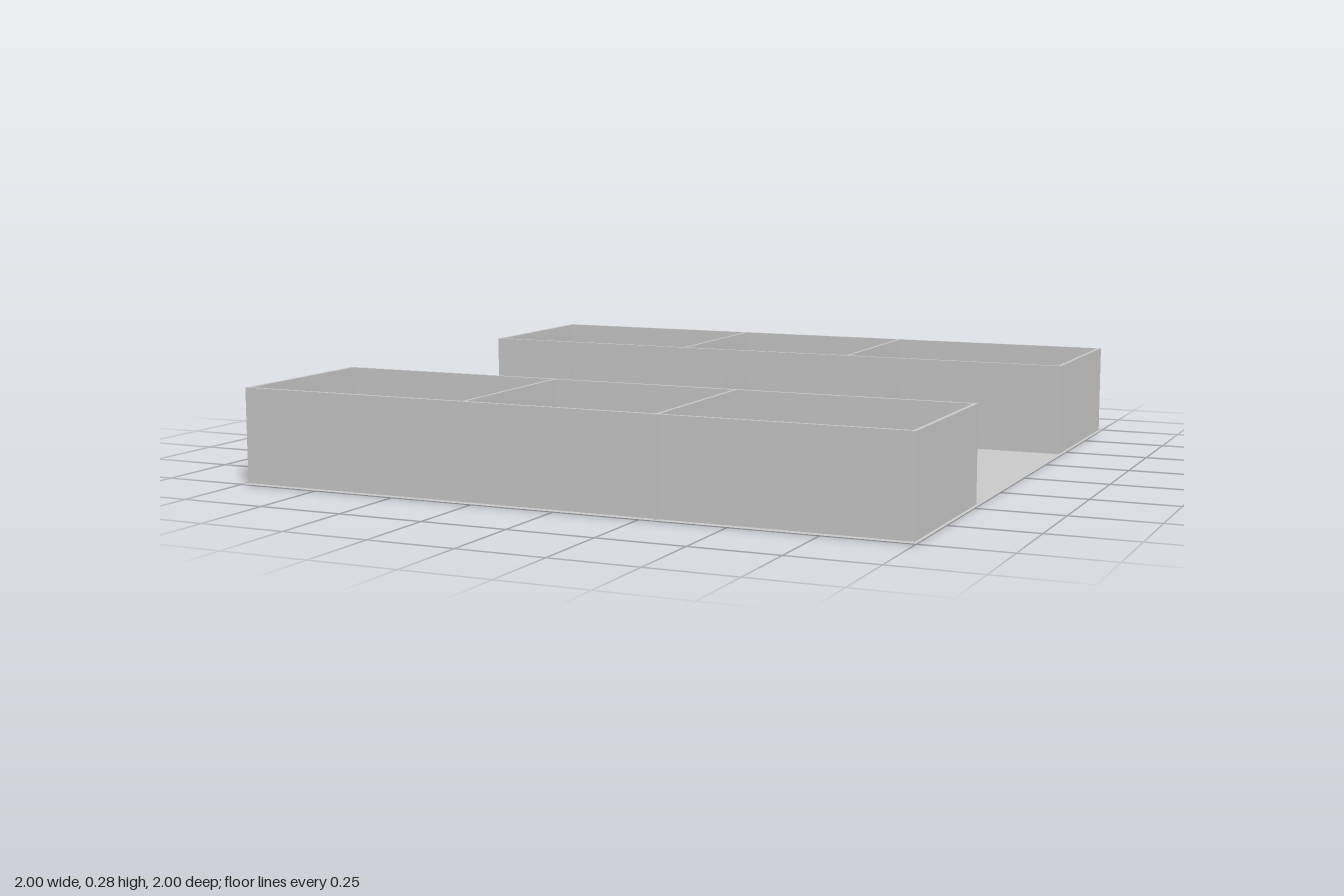
import * as THREE from 'three';

const WALL_H = 0.275, DOOR_H = 0.19, T = 0.011;
const DOOR_CENTRES = [-0.57, 0, 0.57], DOOR_W = 0.28;
const X0 = -0.993, X1 = 0.99;

export function createModel() {
  const group = new THREE.Group();
  const grey = new THREE.MeshStandardMaterial({ color: 0xcccccc, side: THREE.DoubleSide });
  const brown = new THREE.MeshStandardMaterial({ color: 0x5a2025 });
  const green = new THREE.MeshStandardMaterial({ color: 0x55cc33 });

  // Box given by its limits on each axis
  function box(name, parent, x0, x1, y0, y1, z0, z1, material = grey) {
    const mesh = new THREE.Mesh(new THREE.BoxGeometry(x1 - x0, y1 - y0, z1 - z0), material);
    mesh.position.set((x0 + x1) / 2, (y0 + y1) / 2, (z0 + z1) / 2);
    mesh.name = name;
    parent.add(mesh);
  }

  // Thin floor sheet
  const floor = new THREE.Mesh(new THREE.PlaneGeometry(2, 2).rotateX(-Math.PI / 2), grey);
  floor.position.y = 0.001;
  floor.name = 'floor';
  group.add(floor);

  // Corridor wall outline with three doorways open to the floor
  const outline = new THREE.Shape();
  outline.moveTo(X0, 0);
  for (const c of DOOR_CENTRES) {
    outline.lineTo(c - DOOR_W / 2, 0);
    outline.lineTo(c - DOOR_W / 2, DOOR_H);
    outline.lineTo(c + DOOR_W / 2, DOOR_H);
    outline.lineTo(c + DOOR_W / 2, 0);
  }
  outline.lineTo(X1, 0);
  outline.lineTo(X1, WALL_H);
  outline.lineTo(X0, WALL_H);
  const doorWall = new THREE.ExtrudeGeometry(outline, { depth: T, bevelEnabled: false });

  // One row of three rooms; outer wall and corridor wall span the given z limits
  function roomRow(name, zMin, zMax, corridorZ, outerZ, dividerOverhang) {
    const row = new THREE.Group();
    row.name = name;
    group.add(row);

    const inner = new THREE.Mesh(doorWall, grey);
    inner.position.z = corridorZ;
    inner.name = 'corridorWall';
    row.add(inner);

    box('outerWall', row, X0, X1, 0, WALL_H, outerZ, outerZ + T);
    box('rightEndWall', row, X0, X0 + T, 0, WALL_H, zMin, zMax);
    box('leftEndWall', row, X1 - T, X1, 0, WALL_H, zMin, zMax);
    box('rightDivider', row, -0.29, -0.28, 0, WALL_H, zMin, zMax);
    box('leftDivider', row, 0.285, 0.295, 0, WALL_H, zMin, zMax + dividerOverhang);
  }
  roomRow('frontRooms', 0.45, 0.979, 0.449, 0.968, 0.01);
  roomRow('backRooms', -0.99, -0.45, -0.459, -0.993, 0);

  // Planters between the doorways, with a flat planted top
  for (const [z0, z1] of [[0.388, 0.449], [-0.395, -0.448].reverse()]) {
    for (const [x0, x1] of [[-0.41, -0.17], [0.16, 0.4]]) {
      const planter = new THREE.Group();
      planter.name = 'planter';
      group.add(planter);
      box('planterBox', planter, x0, x1, 0, 0.06, z0, z1, brown);
      box('planting', planter, x0, x1, 0.06, 0.062, z0, z1, green);
    }
  }
  return group;
}
